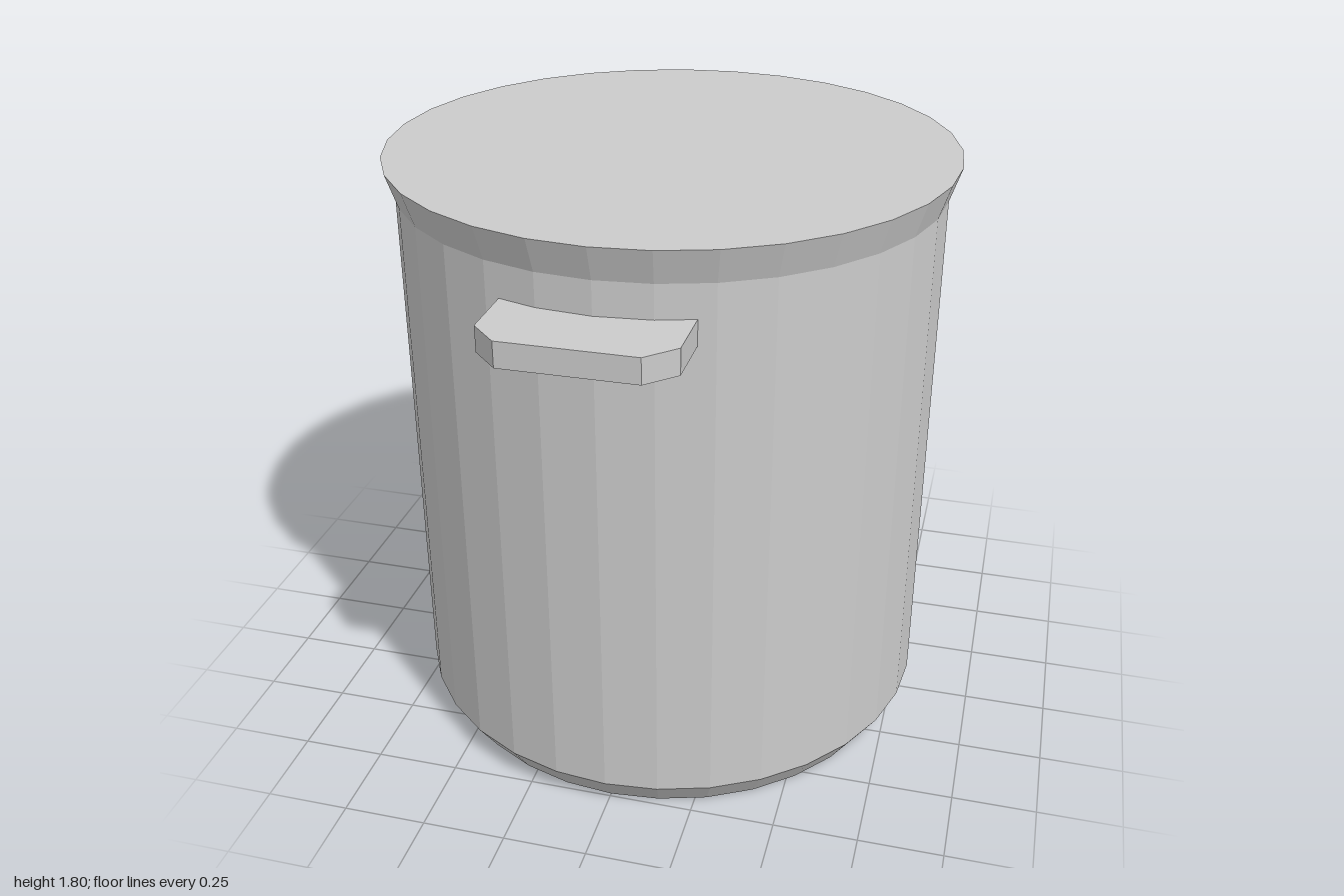
import * as THREE from 'three';

const material = new THREE.MeshStandardMaterial({ color: 0xcccccc, flatShading: true });

// Chamfered grip, its root sunk into the wall; side = 1 front, -1 back
function createHandle(side) {
  const outline = [
    [-0.265, 0.73], [-0.265, 0.925], [-0.19, 1],
    [0.183, 1], [0.26, 0.925], [0.26, 0.73],
  ].map(([x, z]) => new THREE.Vector2(x, z * side));
  const geometry = new THREE.ExtrudeGeometry(new THREE.Shape(outline), { depth: 0.073, bevelEnabled: false });
  geometry.rotateX(Math.PI / 2).translate(0, 1.603, 0);
  return new THREE.Mesh(geometry, material);
}

export function createModel() {
  const model = new THREE.Group();
  model.name = 'stockPot';

  // Closed body: tapered foot, straight wall, flared rim and flat top
  const profile = [
    [0, 0], [0.74, 0], [0.8, 0.09], [0.8, 1.7], [0.833, 1.8], [0, 1.8],
  ].map(([r, y]) => new THREE.Vector2(r, y));
  const body = new THREE.Mesh(new THREE.LatheGeometry(profile, 32), material);
  body.name = 'potBody';
  model.add(body);

  // Front and back handles
  for (const side of [1, -1]) {
    const handle = createHandle(side);
    handle.name = side > 0 ? 'frontHandle' : 'backHandle';
    model.add(handle);
  }
  return model;
}
